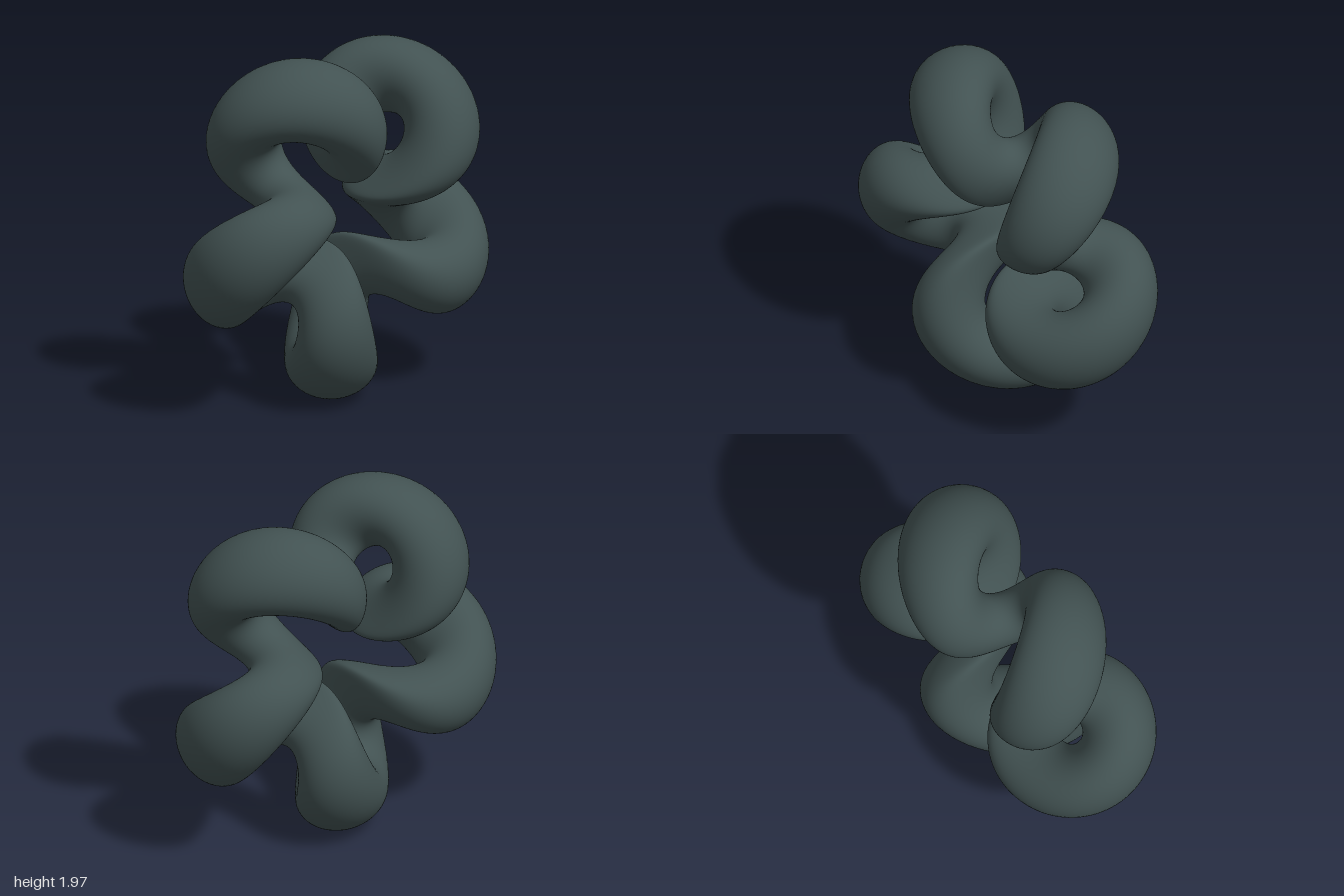
import * as THREE from 'three';
import { ParametricGeometry } from 'three/addons/geometries/ParametricGeometry.js';

const COILS = 5;
const RING_RADIUS = 0.602;
const COIL_RADIUS = 0.23;
const TUBE_RADIUS = 0.2;
const START = THREE.MathUtils.degToRad(-94); // angle of the lowest coil

// Round tube wound on a straight helix, then bent into a ring facing +z:
// the bend pinches the coils at the hole and spreads them at the rim
function bentCoil(u, v, target) {
  const around = u * Math.PI * 2;
  const turn = v * Math.PI * 2;
  const phase = COILS * turn;
  const cos = Math.cos(phase);
  const sin = Math.sin(phase);

  // Helix slope, used to tilt the round cross-section
  const length = Math.hypot(RING_RADIUS, COILS * COIL_RADIUS);
  const along = RING_RADIUS / length;
  const across = (COILS * COIL_RADIUS) / length;

  // Point on the straight coil: x along it, y outward, z to the front
  const out = COIL_RADIUS + TUBE_RADIUS * Math.cos(around);
  const side = TUBE_RADIUS * Math.sin(around);
  const x = RING_RADIUS * turn - across * side;
  const y = out * cos - along * side * sin;
  const z = out * sin + along * side * cos;

  // Bend around the z axis
  const angle = START - x / RING_RADIUS;
  const radius = RING_RADIUS + y;
  target.set(radius * Math.cos(angle), radius * Math.sin(angle), z);
}

export function createModel() {
  const slate = new THREE.MeshStandardMaterial({ color: 0x425252 });
  slate.name = 'dark slate';

  // Centred and standing on the ground
  const geometry = new ParametricGeometry(bentCoil, 56, 500);
  geometry.center();
  geometry.translate(0, -geometry.boundingBox.min.y, 0);

  const coil = new THREE.Mesh(geometry, slate);
  coil.name = 'coiledRing';

  const model = new THREE.Group();
  model.name = 'coiledRingSculpture';
  model.add(coil);
  return model;
}
